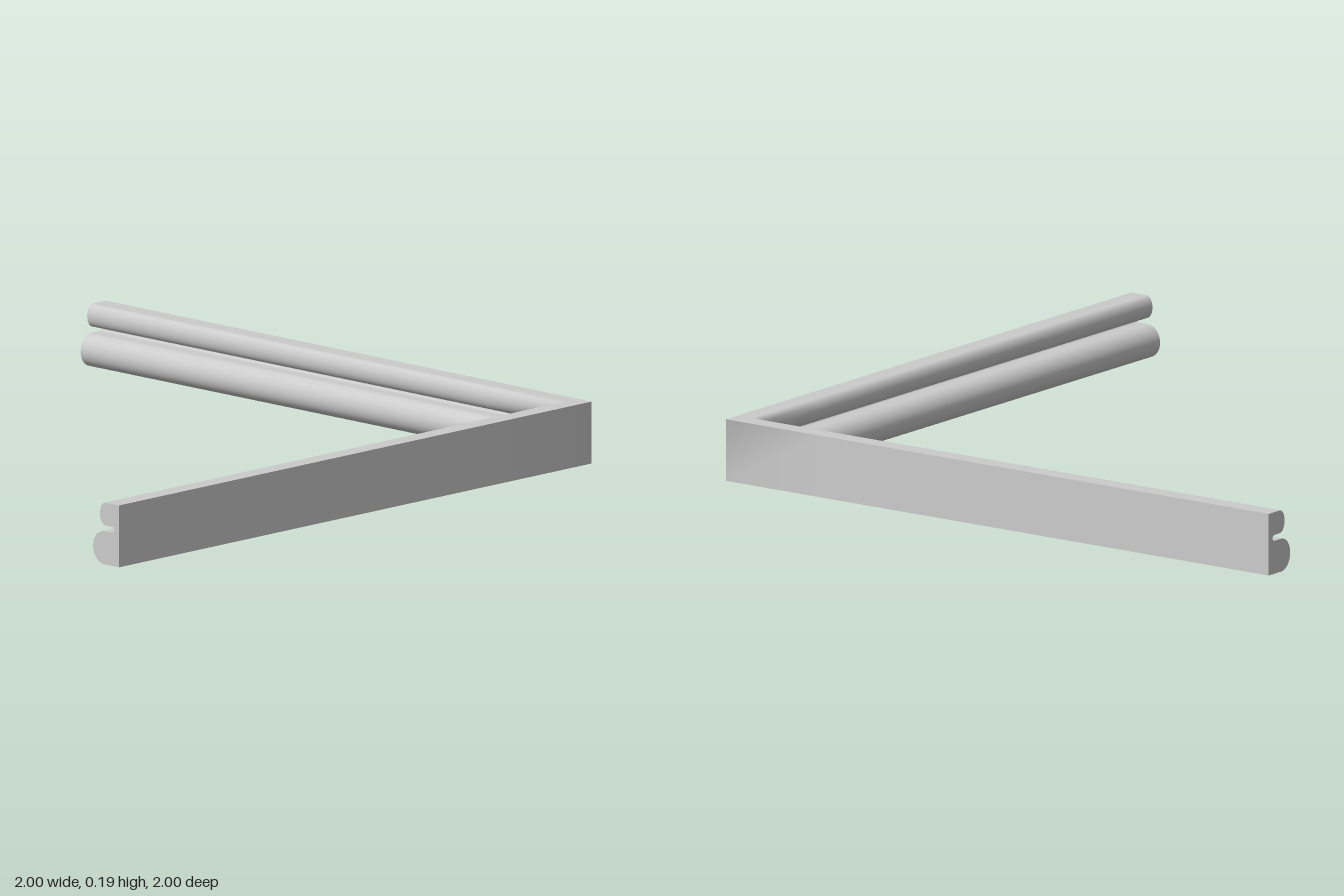
import * as THREE from 'three';

const H = 0.187;   // height of the moulding
const EASE = 0.35; // length over which the shading turns at the mitre

// Points of an elliptical arc, as [depth from outer face, height]
function arc(cd, cy, rd, ry, from, to, n) {
  return Array.from({ length: n + 1 }, (_, i) => {
    const a = from + (to - from) * i / n;
    return [cd + rd * Math.cos(a), cy + ry * Math.sin(a)];
  });
}

// Smooth runs of the profile, in order: over the top, down the inside, back up
const q = Math.PI / 2;
const upper = arc(0.055, 0.1525, 0.023, 0.0345, q, -q, 20);
const groove = arc(0.028, 0.109, 0.009, 0.009, q, 3 * q, 10);
const lower = arc(0.06, 0.05, 0.046, 0.05, q, -q, 24);
const runs = {
  topFace: [[0, H], upper[0]],
  upperBead: upper,
  groove: [upper.at(-1), ...groove, lower[0]],
  lowerBead: lower,
  bottomFace: [lower.at(-1), [0, 0]],
  outerFace: [[0, 0], [0, H]],
};

// Plan positions along the L for a given depth, mitred at the corner
const plan = (d) => [
  [-1, -1 + d], [1 - EASE, -1 + d], [1 - d, -1 + d], [1 - d, -1 + EASE], [1 - d, 1],
];

// Sweeps one run of the profile around the L
function sweep(run) {
  const geo = new THREE.PlaneGeometry(1, 1, 4, run.length - 1);
  run.forEach(([d, y], row) => plan(d).forEach(([x, z], col) => {
    geo.attributes.position.setXYZ(row * 5 + col, x, y, z);
  }));
  geo.computeVertexNormals();
  return geo;
}

// Flat end of a leg; side mirrors the profile
function cap(side) {
  const pts = Object.values(runs).flatMap((run) => run.slice(0, -1));
  return new THREE.ShapeGeometry(new THREE.Shape(pts.map(([d, y]) => new THREE.Vector2(side * d, y))));
}

export function createModel() {
  const group = new THREE.Group();
  group.name = 'cornerMoulding';
  const material = new THREE.MeshStandardMaterial({ color: 0xcccccc });
  const add = (name, geo) => {
    const mesh = new THREE.Mesh(geo, material);
    mesh.name = name;
    group.add(mesh);
    return mesh;
  };

  for (const [name, run] of Object.entries(runs)) add(name, sweep(run));

  // End of the side leg, facing the front
  add('sideLegEnd', cap(-1)).position.set(1, 0, 1);

  // End of the back leg, facing -x
  const backEnd = add('backLegEnd', cap(1));
  backEnd.rotation.y = -Math.PI / 2;
  backEnd.position.set(-1, 0, -1);

  return group;
}
